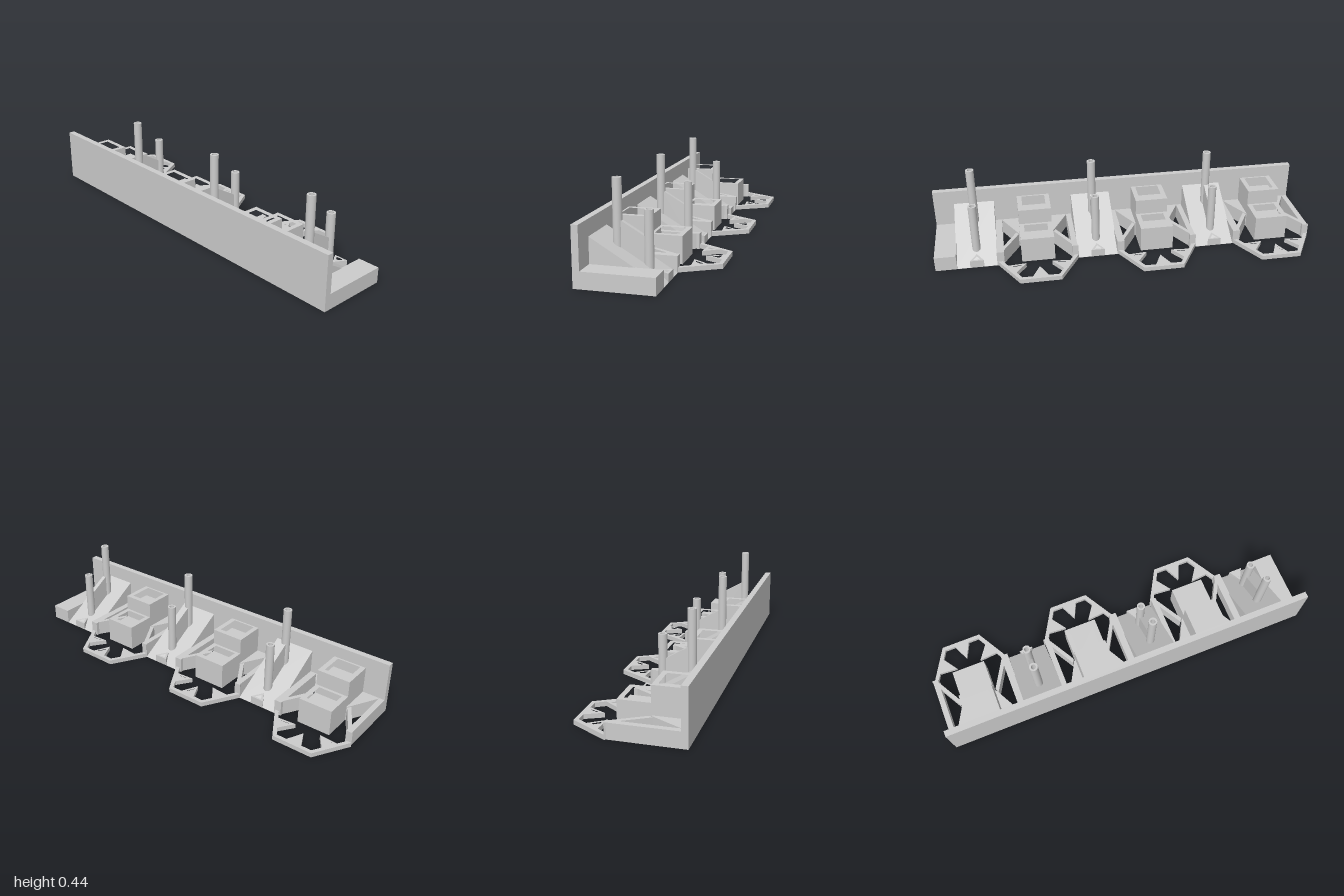
import * as THREE from 'three';

const material = new THREE.MeshStandardMaterial({ color: 0xcccccc, flatShading: true });
const smooth = new THREE.MeshStandardMaterial({ color: 0xcccccc });
const BASE = 0.078, BACK = -0.09, PANEL = 0.243, RING = 0.023;

function add(parent, name, geometry, mat = material) {
  const mesh = new THREE.Mesh(geometry, mat);
  mesh.name = name;
  parent.add(mesh);
  return mesh;
}

// Box given by its limits
function block(x0, x1, y0, y1, z0, z1) {
  return new THREE.BoxGeometry(x1 - x0, y1 - y0, z1 - z0)
    .translate((x0 + x1) / 2, (y0 + y1) / 2, (z0 + z1) / 2);
}

// Plan outline of [x, z] points raised from y0 to y1
function slab(points, y0, y1, hole) {
  const toPlan = (list) => list.map(([x, z]) => new THREE.Vector2(x, -z));
  const shape = new THREE.Shape(toPlan(points));
  if (hole) shape.holes.push(new THREE.Path(toPlan(hole)));
  return new THREE.ExtrudeGeometry(shape, { depth: y1 - y0, bevelEnabled: false })
    .rotateX(-Math.PI / 2).translate(0, y0, 0);
}

// Side outline of [z, y] points, extruded across x
function profile(points, x0, x1) {
  const shape = new THREE.Shape(points.map(([z, y]) => new THREE.Vector2(-z, y)));
  return new THREE.ExtrudeGeometry(shape, { depth: x1 - x0, bevelEnabled: false })
    .rotateY(Math.PI / 2).translate(x0, 0, 0);
}

// Open-topped bin with a solid lower body
function bin(parent, name, x0, x1, z0, z1, top, depth) {
  const t = 0.025;
  add(parent, name + 'Body', block(x0, x1, 0, top - depth, z0, z1));
  add(parent, name + 'Rim', slab(
    [[x0, z0], [x1, z0], [x1, z1], [x0, z1]], top - depth, top,
    [[x0 + t, z0 + t], [x1 - t, z0 + t], [x1 - t, z1 - t], [x0 + t, z1 - t]]));
}

// Upright tube with a bore at the top
function post(parent, name, z, top) {
  const r = 0.0215, bore = 0.012;
  const points = [[0, 0], [r, 0], [r, 0], [r, top], [r, top], [bore, top],
    [bore, top], [bore, top - 0.08], [bore, top - 0.08], [0, top - 0.08]];
  const geometry = new THREE.LatheGeometry(points.map(([x, y]) => new THREE.Vector2(x, y)), 28);
  add(parent, name, geometry, smooth).position.set(0, 0, z);
}

// Triangular tooth with a shallow recess, pointing toward +z
function tooth(parent, name, height) {
  const group = new THREE.Group();
  group.name = name;
  add(group, 'toothFloor', slab([[-0.04, 0], [0.04, 0], [0, 0.085]], 0, height * 0.5));
  add(group, 'toothRim', slab([[-0.04, 0], [0.04, 0], [0, 0.085]], height * 0.5, height,
    [[-0.02, 0.013], [0.02, 0.013], [0, 0.055]]));
  parent.add(group);
  return group;
}

// Hexagonal opening, stepped bins and their supports
function createBay() {
  const bay = new THREE.Group();
  bay.name = 'bay';
  const R = 0.21, r = 0.187, h = Math.sqrt(3) / 2;

  // Back half of the hexagonal ring
  add(bay, 'hexRing', slab([
    [-R, BACK], [-R / 2, BACK - R * h], [R / 2, BACK - R * h], [R, BACK],
    [r, BACK], [r / 2, BACK - r * h], [-r / 2, BACK - r * h], [-r, BACK],
  ], 0, RING));
  for (const a of [-1, 0, 1]) {
    const angle = a * Math.PI / 3, d = r * h;
    const t = tooth(bay, 'ringTooth', RING);
    t.position.set(-Math.sin(angle) * d, 0, BACK - Math.cos(angle) * d);
    t.rotation.y = angle;
  }

  // Side walls, front half of the ring and bin supports
  for (const s of [-1, 1]) {
    const wall = s < 0 ? [-0.205, -0.177] : [0.177, 0.215];
    add(bay, 'sideWall', block(wall[0], wall[1], 0, BASE, BACK, PANEL));
    const ringBar = [[R, BACK], [R / 2, BACK + R * h], [r / 2, BACK + r * h], [r, BACK]];
    add(bay, 'ringBar', slab(ringBar.map(([x, z]) => [x * s, z]), 0, BASE));
    const gusset = [[0.08, 0.07], [0.095, 0.085], [0.18, PANEL], [0.08, PANEL]];
    add(bay, 'binSupport', slab(gusset.map(([x, z]) => [x * s, z]), 0, BASE));
  }

  bin(bay, 'lowBin', -0.087, 0.087, -0.077, 0.09, 0.135, 0.05);
  bin(bay, 'highBin', -0.087, 0.087, 0.08, PANEL + 0.015, 0.217, 0.06);
  return bay;
}

// Sloping channel with two posts joined by a web
function createRamp() {
  const ramp = new THREE.Group();
  ramp.name = 'rampUnit';
  add(ramp, 'ramp', profile([[PANEL, 0], [PANEL, 0.2], [BACK, 0.001], [BACK, 0]], -0.106, 0.106));
  post(ramp, 'tallPost', 0.15, 0.443);
  post(ramp, 'shortPost', 0.007, 0.31);
  add(ramp, 'web', profile([[0.14, 0.05], [0.14, 0.259], [0.015, 0.186], [0.015, 0.05]], -0.011, 0.011));
  const t = tooth(ramp, 'rampTooth', 0.04);
  t.position.z = BACK;
  t.scale.set(0.9, 1, 0.75);
  return ramp;
}

export function createModel() {
  const model = new THREE.Group();
  model.name = 'displayStand';
  add(model, 'frontPanel', block(-1, 1, 0, 0.277, PANEL, 0.275));
  for (let i = 0; i < 3; i++) {
    const x = -0.795 + i * 0.632;
    const bay = createBay();
    bay.position.x = x;
    const ramp = createRamp();
    ramp.position.x = x + 0.318;
    model.add(bay, ramp);
  }
  add(model, 'endPlate', block(0.89, 1, 0, BASE, BACK, PANEL));
  return model;
}
